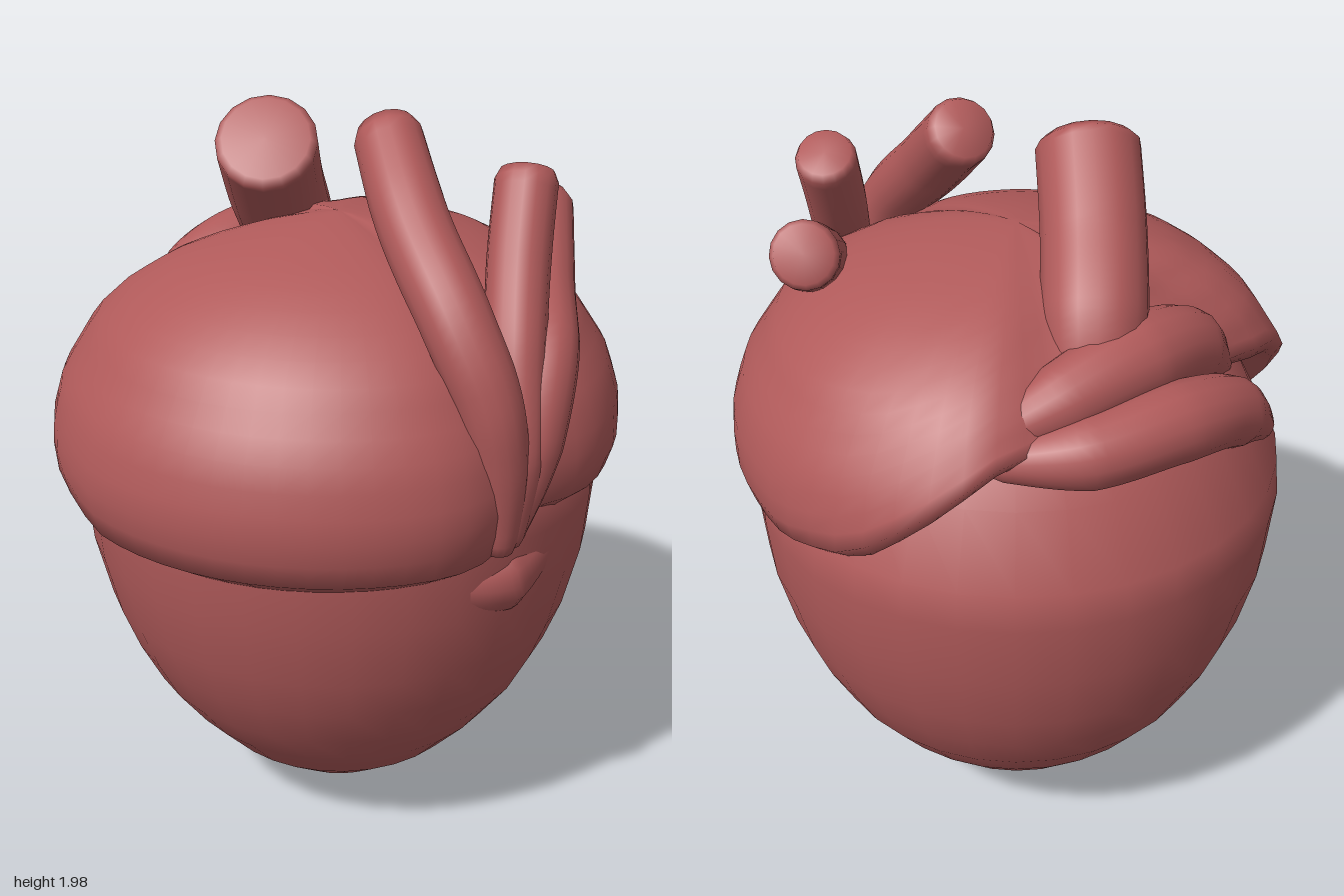
import * as THREE from 'three';
import { mergeVertices } from 'three/addons/utils/BufferGeometryUtils.js';

const material = new THREE.MeshStandardMaterial({ color: 0xb05a5a });
const V = (p) => new THREE.Vector3(...p);
const { lerp, smoothstep } = THREE.MathUtils;

// Piecewise linear lookup in [key, value] pairs
function lookup(table, k) {
  for (let i = 1; i < table.length; i++) {
    const [k0, v0] = table[i - 1], [k1, v1] = table[i];
    if (k <= k1) return lerp(v0, v1, Math.max(0, (k - k0) / (k1 - k0)));
  }
  return table[table.length - 1][1];
}

function addMesh(group, name, geometry) {
  const mesh = new THREE.Mesh(geometry, material);
  mesh.name = name;
  group.add(mesh);
}

// Smooth normals across seams
function smooth(geometry) {
  geometry.deleteAttribute('uv');
  geometry.deleteAttribute('normal');
  const merged = mergeVertices(geometry, 1e-4);
  merged.computeVertexNormals();
  return merged;
}

// Tube with a varying radius and slightly rounded flat ends
function vessel(points, radii) {
  const n = 40, sides = 16;
  const curve = new THREE.CatmullRomCurve3(points.map(V));
  const geometry = new THREE.TubeGeometry(curve, n, 1, sides);
  const pos = geometry.attributes.position;
  const table = radii.map((r, i) => [i / (radii.length - 1), r]);
  const p = new THREE.Vector3();
  for (let i = 0; i <= n; i++) {
    const own = curve.getPointAt(i / n);
    const centre = curve.getPointAt(Math.min(Math.max(i, 1), n - 1) / n);
    const edge = Math.min(i, n - i);
    const r = lookup(table, i / n) * (edge === 0 ? 0 : edge === 1 ? 0.86 : 1);
    for (let j = 0; j <= sides; j++) {
      const k = i * (sides + 1) + j;
      p.fromBufferAttribute(pos, k).sub(own).multiplyScalar(r).add(centre);
      pos.setXYZ(k, p.x, p.y, p.z);
    }
  }
  return smooth(geometry);
}

// Upper chambers: a dome whose lower rim rises towards the right side
function chambers() {
  const sides = 60, rows = 20, top = 1.7;
  const dome = [[0.93, 0.68], [0.98, 0.73], [1.1, 0.765], [1.2, 0.755], [1.3, 0.725], [1.45, 0.63],
    [1.53, 0.54], [1.6, 0.42], [1.64, 0.31], [1.67, 0.2], [1.69, 0.09], [1.7, 0]];
  const frontRim = [[0, 0.93], [92, 0.93], [112, 1.05], [130, 1.3], [180, 1.45]];
  const backRim = [[0, 1.03], [85, 1.03], [105, 1.12], [130, 1.38], [180, 1.45]];
  const verts = [], index = [];
  for (let i = 0; i < sides; i++) {
    const deg = -180 + (360 * i) / sides;
    const a = THREE.MathUtils.degToRad(deg);
    const blend = Math.abs(deg) > 90 ? (deg > 0 ? 1 : 0) : smoothstep(deg, -10, 2);
    const rim = lerp(lookup(backRim, Math.abs(deg)), lookup(frontRim, Math.abs(deg)), blend);
    const lift = (1 - blend) * 0.06;
    const inset = 0.11 * smoothstep(Math.abs(deg), 125, 150)
      + 0.06 * Math.exp(-(((deg + 5) / 12) ** 2)) + 0.03 * Math.max(0, Math.cos(a));
    for (let j = 0; j <= rows; j++) {
      const t = Math.max(0, j - 1) / (rows - 1);
      const y = rim + (top - rim) * Math.sin((t * Math.PI) / 2);
      const R = lookup(dome, y - lift * (1 - t));
      const tuck = j === 0 ? 0.22 : j === 1 ? 0.04 : 0;
      const r = Math.max(0, R - tuck - inset * Math.min(1, R / 0.5));
      verts.push(r * Math.cos(a), y + (j === 0 ? 0.01 : 0), r * Math.sin(a));
      if (j < rows) {
        const p = i * (rows + 1) + j, q = ((i + 1) % sides) * (rows + 1) + j;
        index.push(p, p + 1, q, q, p + 1, q + 1);
      }
    }
  }
  const geometry = new THREE.BufferGeometry();
  geometry.setAttribute('position', new THREE.Float32BufferAttribute(verts, 3));
  geometry.setIndex(index);
  return smooth(geometry);
}

export function createModel() {
  const group = new THREE.Group();
  group.name = 'heart';

  // Egg-shaped lower body
  const profile = [[0, 0], [0.08, 0.02], [0.19, 0.06], [0.36, 0.19], [0.46, 0.3], [0.54, 0.41], [0.6, 0.53],
    [0.645, 0.65], [0.685, 0.82], [0.7, 1], [0.69, 1.1], [0.6, 1.28], [0.5, 1.4], [0.28, 1.54], [0, 1.6]];
  const body = new THREE.LatheGeometry(profile.map(([x, y]) => new THREE.Vector2(x, y)), 32);
  body.translate(-0.04, 0, -0.03);
  addMesh(group, 'ventricles', smooth(body));

  addMesh(group, 'atria', chambers());

  // Wide vessel leaning forward
  addMesh(group, 'greatVessel', vessel(
    [[-0.4, 1.38, -0.14], [-0.36, 1.56, -0.09], [-0.23, 1.73, 0.04], [-0.08, 1.9, 0.17]],
    [0.1, 0.13, 0.13, 0.13]));

  // Three vessels fanning up from the left side
  addMesh(group, 'leftFrontVessel', vessel(
    [[0.65, 0.97, 0], [0.655, 1.2, 0.01], [0.635, 1.38, 0.035], [0.54, 1.56, 0.06], [0.34, 1.74, 0.03], [0.1, 1.94, -0.06]],
    [0.04, 0.07, 0.085, 0.09, 0.09, 0.085]));
  addMesh(group, 'leftMiddleVessel', vessel(
    [[0.65, 0.99, -0.02], [0.65, 1.22, -0.04], [0.58, 1.45, -0.09], [0.48, 1.65, -0.18], [0.39, 1.86, -0.28]],
    [0.04, 0.07, 0.075, 0.078, 0.078]));
  addMesh(group, 'leftBackVessel', vessel(
    [[0.64, 1, -0.02], [0.645, 1.2, -0.08], [0.59, 1.42, -0.17], [0.42, 1.55, -0.31], [0.21, 1.71, -0.5]],
    [0.04, 0.08, 0.09, 0.09, 0.085]));

  // Two vessels arching over the right shoulder
  addMesh(group, 'rightUpperVessel', vessel(
    [[-0.33, 1.4, -0.46], [-0.41, 1.47, -0.3], [-0.45, 1.51, -0.08], [-0.44, 1.47, 0.13], [-0.41, 1.3, 0.34]],
    [0.04, 0.09, 0.11, 0.1, 0.04]));
  addMesh(group, 'rightLowerVessel', vessel(
    [[-0.36, 1.37, -0.46], [-0.52, 1.39, -0.28], [-0.59, 1.4, -0.05], [-0.59, 1.34, 0.15], [-0.56, 1.18, 0.36]],
    [0.04, 0.09, 0.1, 0.09, 0.03]));

  // Leaf-like flap below the left vessels
  addMesh(group, 'auricle', vessel(
    [[0.57, 0.92, 0.17], [0.57, 0.89, -0.02], [0.52, 0.95, -0.24], [0.46, 1.01, -0.45]],
    [0.03, 0.115, 0.085, 0.03]));

  return group;
}
